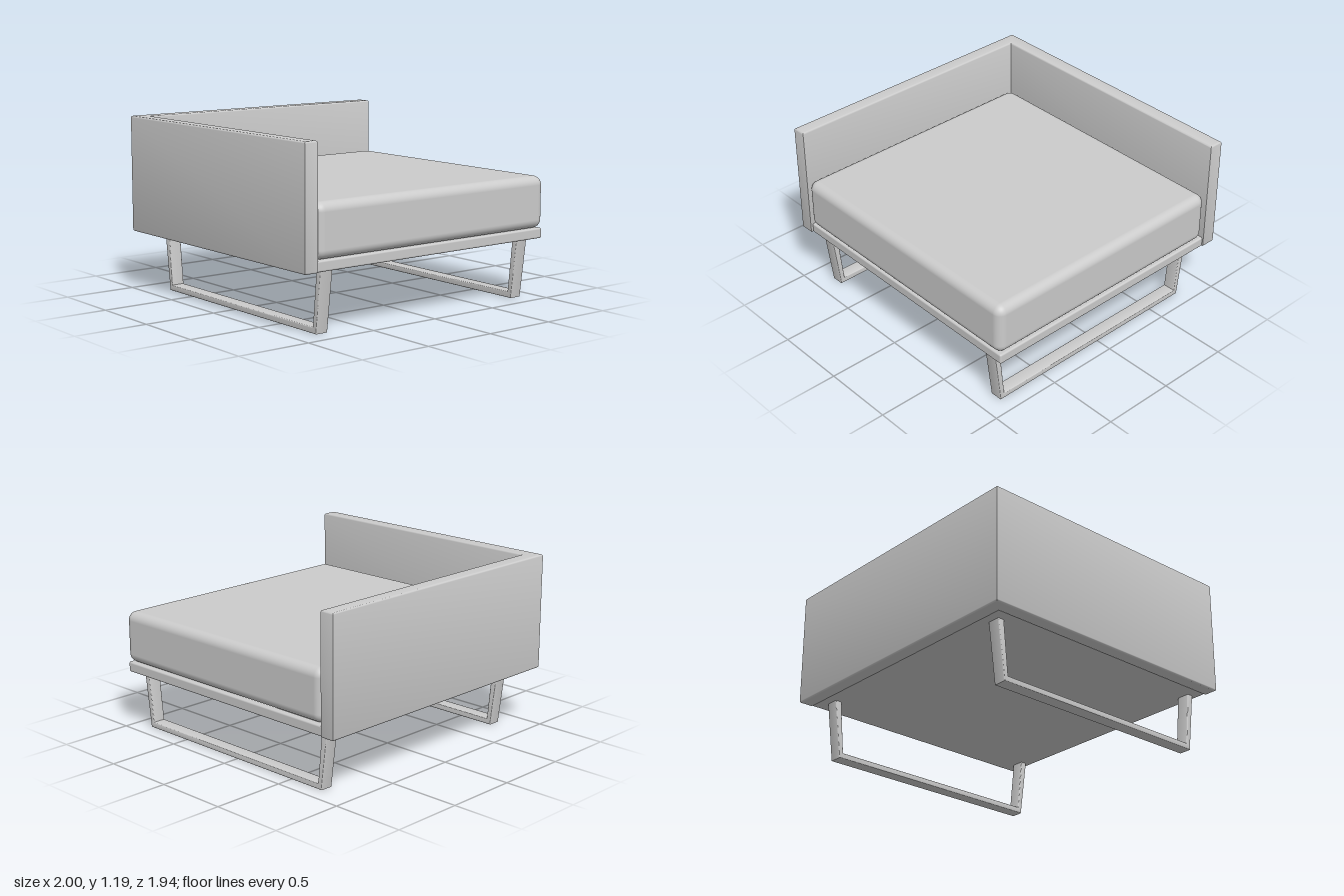
import * as THREE from 'three';
import { toCreasedNormals } from 'three/addons/utils/BufferGeometryUtils.js';
import { RoundedBoxGeometry } from 'three/addons/geometries/RoundedBoxGeometry.js';

const material = new THREE.MeshStandardMaterial({ color: 0xcccccc });

function polygon(points) {
  return new THREE.Shape(points.map(([x, y]) => new THREE.Vector2(x, y)));
}

// Extrusion whose rounded edges stay inside the outline and the given depth
function softExtrude(points, depth, bevel) {
  const geometry = new THREE.ExtrudeGeometry(polygon(points), {
    depth: depth - 2 * bevel,
    bevelThickness: bevel,
    bevelSize: bevel,
    bevelOffset: -bevel,
    bevelSegments: 3,
  });
  geometry.translate(0, 0, bevel);
  return toCreasedNormals(geometry, 0.7);
}

// Rounded box given by its low and high corners
function softBox(name, low, high, radius, segments) {
  const size = high.map((v, i) => v - low[i]);
  const mesh = new THREE.Mesh(new RoundedBoxGeometry(...size, segments, radius), material);
  mesh.position.set(...high.map((v, i) => (v + low[i]) / 2));
  mesh.name = name;
  return mesh;
}

export function createModel() {
  const model = new THREE.Group();
  model.name = 'cornerSeat';

  // L-shaped back and arm panel, outlined in plan as (x, -z)
  const panel = softExtrude(
    [[-1, -0.97], [-0.905, -0.97], [-0.905, 0.87], [1, 0.87], [1, 0.97], [-1, 0.97]],
    0.79, 0.012);
  panel.rotateX(-Math.PI / 2);
  panel.translate(0, 0.4, 0);
  const backAndArm = new THREE.Mesh(panel, material);
  backAndArm.name = 'backAndArm';
  model.add(backAndArm);

  // Thin platform and the thick cushion on it
  model.add(softBox('seatBase', [-0.91, 0.4, -0.88], [0.99, 0.47, 0.955], 0.012, 3));
  const cushion = softBox('seatCushion', [-0.905, 0.47, -0.865], [0.995, 0.82, 0.968], 0.06, 6);
  model.add(cushion);

  // Flat-bar sled legs, outlined from the side as (z, y)
  const sled = [
    [0.915, 0.41], [0.862, 0], [-0.765, 0], [-0.817, 0.41],
    [-0.77, 0.41], [-0.735, 0.04], [0.832, 0.04], [0.87, 0.41],
  ].reverse();
  for (const [name, x] of [['rightLegFrame', -0.795], ['leftLegFrame', 0.845]]) {
    const geometry = softExtrude(sled, 0.09, 0.006);
    geometry.translate(0, 0, -0.045);
    geometry.rotateY(-Math.PI / 2);
    const leg = new THREE.Mesh(geometry, material);
    leg.position.x = x;
    leg.name = name;
    model.add(leg);
  }

  return model;
}
